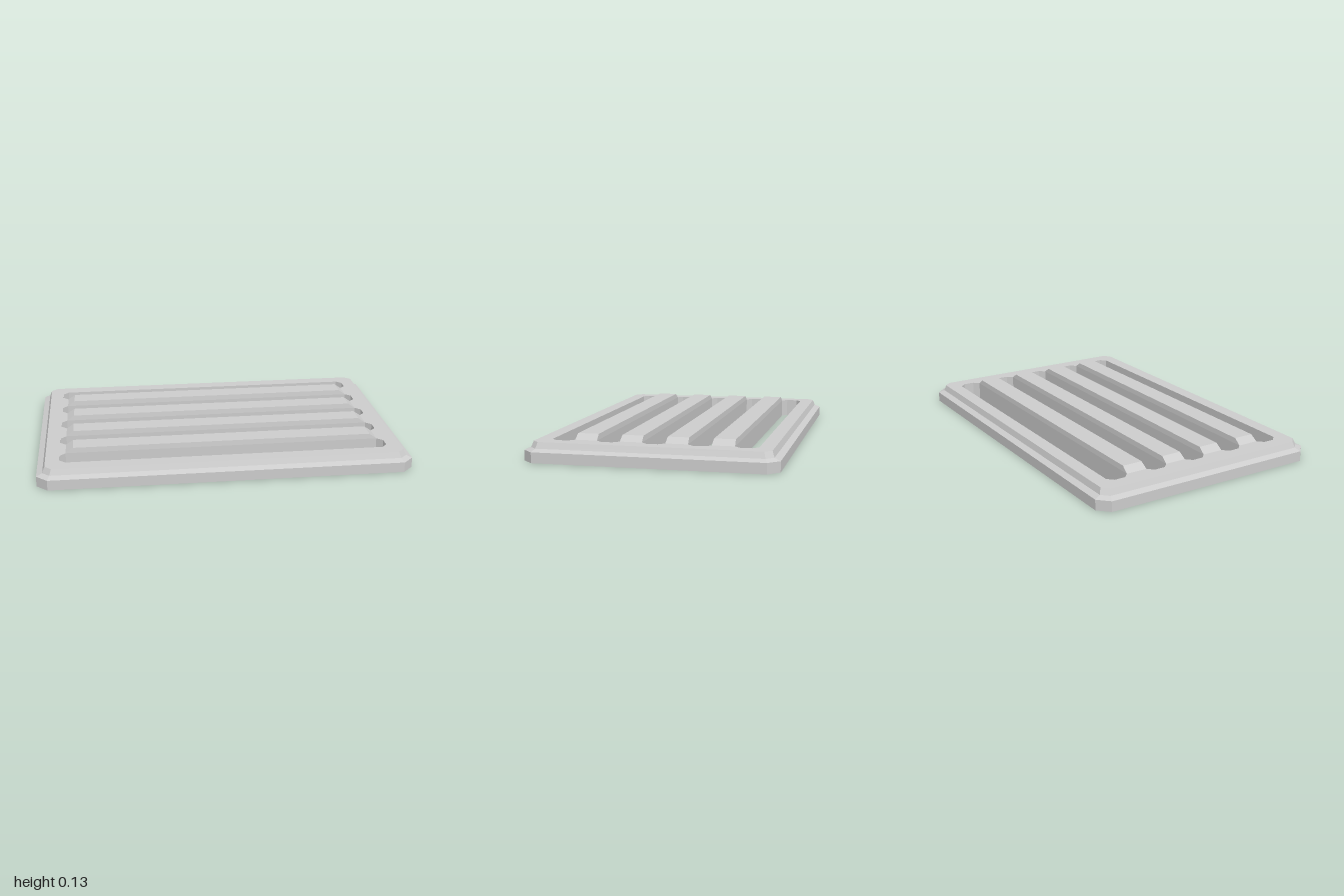
import * as THREE from 'three';
import { mergeGeometries } from 'three/addons/utils/BufferGeometryUtils.js';

const PITCH = 0.236, SLOT_HALF = 0.06, TOP = 0.1;

// Counter-clockwise rectangle with cut corners (plain rectangle when cut is 0)
function outline(hx, hz, cut = 0, cy = 0) {
  const pts = cut
    ? [[hx, -hz + cut], [hx, hz - cut], [hx - cut, hz], [-hx + cut, hz],
       [-hx, hz - cut], [-hx, -hz + cut], [-hx + cut, -hz], [hx - cut, -hz]]
    : [[hx, -hz], [hx, hz], [-hx, hz], [-hx, -hz]];
  return pts.map(([x, y]) => new THREE.Vector2(x, y + cy));
}

// Flat-shaded walls through a stack of { y, pts }; listing them downwards faces the walls inwards
function walls(rings) {
  const pos = [];
  const push = (ring, i) => pos.push(ring.pts[i].x, ring.y, -ring.pts[i].y);
  for (let k = 0; k < rings.length - 1; k++) {
    const lo = rings[k], hi = rings[k + 1], n = lo.pts.length;
    for (let i = 0; i < n; i++) {
      const j = (i + 1) % n;
      push(lo, i); push(lo, j); push(hi, j);
      push(lo, i); push(hi, j); push(hi, i);
    }
  }
  const g = new THREE.BufferGeometry();
  g.setAttribute('position', new THREE.Float32BufferAttribute(pos, 3));
  g.computeVertexNormals();
  return g;
}

// Flat cap with optional holes, facing up or down
function cap(pts, y, holes = [], up = true) {
  const shape = new THREE.Shape(pts);
  shape.holes = holes.map((h) => new THREE.Path(h));
  const g = new THREE.ShapeGeometry(shape).toNonIndexed();
  g.deleteAttribute('uv');
  return g.rotateX(up ? -Math.PI / 2 : Math.PI / 2).translate(0, y, 0);
}

export function createModel() {
  const group = new THREE.Group();
  const material = new THREE.MeshStandardMaterial({ color: 0xcccccc, flatShading: true });
  const add = (name, parts) => {
    const mesh = new THREE.Mesh(mergeGeometries(parts), material);
    mesh.name = name;
    group.add(mesh);
    return mesh;
  };

  // Stepped frame pierced by five slots
  const base = outline(1, 0.65, 0.058);
  const rim = outline(0.955, 0.607, 0.035);
  const slots = [-2, -1, 0, 1, 2].map((i) => outline(0.88, SLOT_HALF, 0.03, i * PITCH));
  add('frame', [
    walls([
      { y: 0, pts: base },
      { y: 0.055, pts: base },
      { y: 0.068, pts: outline(0.968, 0.618, 0.037) },
      { y: TOP, pts: rim },
    ]),
    cap(rim, TOP, slots),
    cap(base, 0, slots, false),
    ...slots.map((pts) => walls([{ y: TOP, pts }, { y: 0, pts }])),
  ]);

  // Raised bars with sloping ends between the slots
  const barHalf = PITCH / 2 - SLOT_HALF;
  const barTop = outline(0.81, barHalf - 0.003);
  for (const i of [-1.5, -0.5, 0.5, 1.5]) {
    const bar = add('raisedBar', [
      walls([{ y: TOP, pts: outline(0.85, barHalf) }, { y: 0.128, pts: barTop }]),
      cap(barTop, 0.128),
    ]);
    bar.position.z = i * PITCH;
  }
  return group;
}
